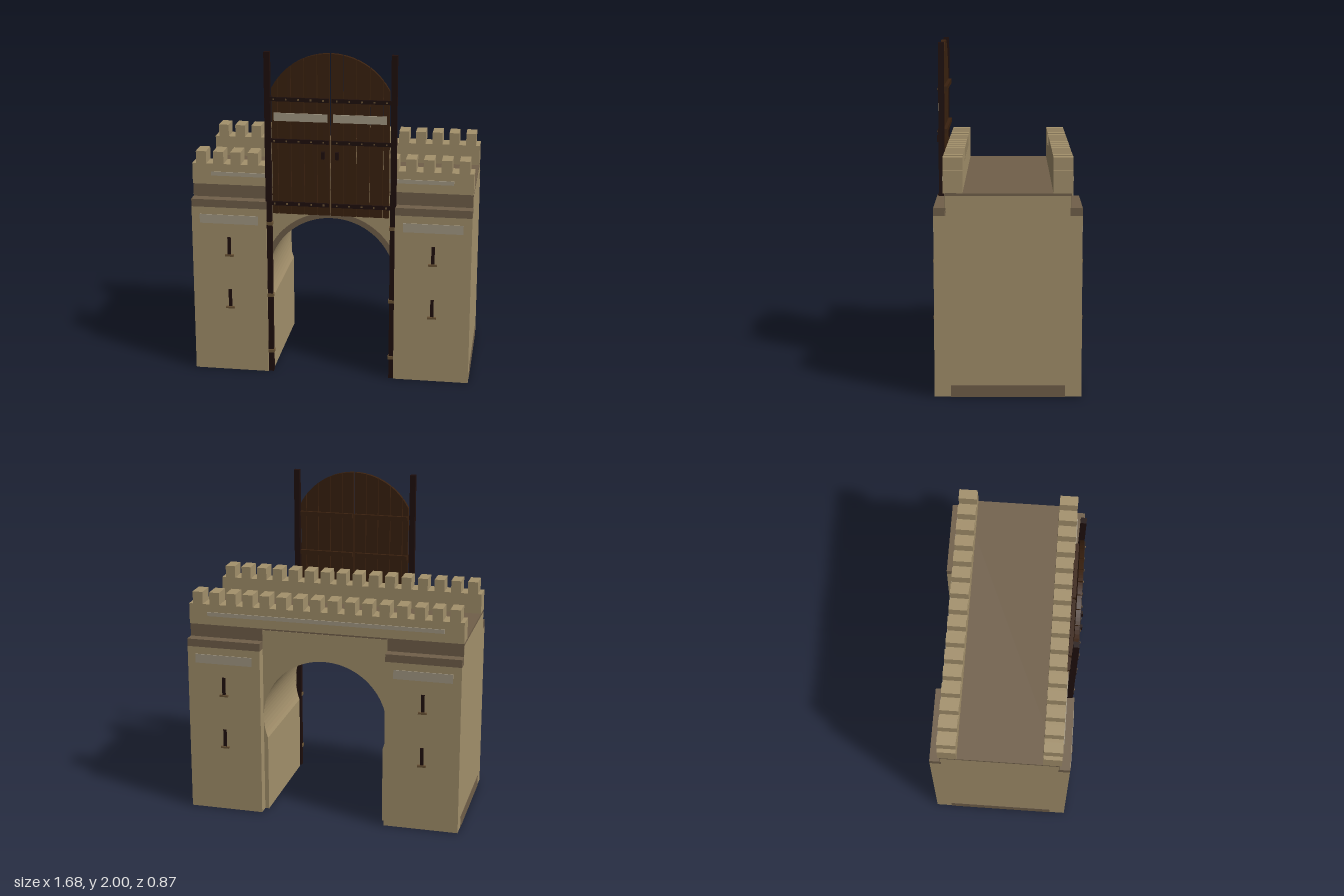
import * as THREE from 'three';

const mat = (name, color) => {
  const m = new THREE.MeshStandardMaterial({ color });
  m.name = name;
  return m;
};

export function createModel() {
  const root = new THREE.Group();
  root.name = 'castleGate';
  const stone = mat('sandstone', 0xa4916c);
  const trim = mat('darkStone', 0x71604a);
  const wood = mat('darkWood', 0x3a210f);
  const iron = mat('blackIron', 0x1f0f0d);
  const pale = mat('paleStone', 0xa59b86);
  const bronze = mat('bronze', 0x6b5436);

  const add = (geo, m, name, parent = root) => {
    const mesh = new THREE.Mesh(geo, m);
    mesh.name = name;
    parent.add(mesh);
    return mesh;
  };
  // Box given by its extents on each axis
  const box = (name, m, x0, x1, y0, y1, z0, z1, parent = root) => {
    const b = add(new THREE.BoxGeometry(Math.abs(x1 - x0), y1 - y0, Math.abs(z1 - z0)), m, name, parent);
    b.position.set((x0 + x1) / 2, (y0 + y1) / 2, (z0 + z1) / 2);
    return b;
  };

  // Main wall with a horseshoe arch passage
  const R = 0.385, CY = 0.61, a = Math.acos(0.36 / R);
  const wall = new THREE.Shape();
  wall.moveTo(-0.84, 0.002);
  wall.lineTo(-0.36, 0.002);
  wall.lineTo(-0.36, CY - R * Math.sin(a));
  wall.absarc(0, CY, R, Math.PI + a, -a, true);
  wall.lineTo(0.36, 0.002);
  wall.lineTo(0.84, 0.002);
  wall.lineTo(0.84, 1.165);
  wall.lineTo(-0.84, 1.165);
  wall.closePath();
  const wallGeo = new THREE.ExtrudeGeometry(wall, { depth: 0.71, bevelEnabled: false, curveSegments: 28 });
  wallGeo.translate(0, 0, -0.355);
  add(wallGeo, stone, 'archedWall');

  // Dark ring around the front of the arch
  const ring = new THREE.Shape();
  ring.absarc(0, CY, R + 0.033, -0.2, Math.PI + 0.2, false);
  ring.absarc(0, CY, R, Math.PI + 0.2, -0.2, true);
  const ringGeo = new THREE.ExtrudeGeometry(ring, { depth: 0.006, bevelEnabled: false, curveSegments: 28 });
  ringGeo.translate(0, 0, 0.354);
  add(ringGeo, trim, 'archRing');

  box('roofWalk', trim, -0.84, 0.84, 1.165, 1.18, -0.354, 0.354);

  // Towers, mirrored left and right
  for (const s of [1, -1]) {
    const tower = new THREE.Group();
    tower.name = s > 0 ? 'leftTower' : 'rightTower';
    root.add(tower);
    const tb = (name, m, x0, x1, ...r) => box(name, m, s * x0, s * x1, ...r, tower);
    tb('towerBlock', stone, 0.385, 0.84, 0.002, 1.05, -0.42, 0.42);
    tb('footing', trim, 0.37, 0.842, 0, 0.07, -0.325, 0.325);
    for (const f of [1, -1]) {
      tb('cornice', trim, 0.385, 0.84, 1.05, 1.097, f * 0.35, f * 0.42);
      tb('upperBand', trim, 0.385, 0.839, 1.097, 1.18, f * 0.35, f * 0.358);
      tb('towerPanel', pale, 0.435, 0.79, 0.95, 1.005, f * 0.417, f * 0.425);
      for (const y of [0.41, 0.745]) {
        tb('arrowSlit', iron, 0.604, 0.624, y + 0.01, y + 0.12, f * 0.418, f * 0.427);
        tb('slitSill', bronze, 0.587, 0.64, y, y + 0.012, f * 0.418, f * 0.434);
      }
    }
    // Tall guide post and its brackets
    tb('guidePost', iron, 0.355, 0.389, 0, 2, 0.375, 0.409);
    for (const y of [0.135, 0.5, 0.96]) tb('postBracket', bronze, 0.349, 0.389, y - 0.01, y + 0.01, 0.38, 0.414);
  }

  // Parapets with sixteen merlons each
  for (const f of [1, -1]) {
    const parapet = new THREE.Group();
    parapet.name = f > 0 ? 'frontParapet' : 'backParapet';
    root.add(parapet);
    box('parapetWall', stone, -0.84, 0.84, 1.178, 1.305, f * 0.255, f * 0.367, parapet);
    box('parapetPanel', pale, -0.725, 0.725, 1.233, 1.257, f * 0.364, f * 0.373, parapet);
    for (let i = 0; i < 16; i++) {
      const x = (i - 7.5) * 0.1047;
      box('merlon', stone, x - 0.031, x + 0.031, 1.305, 1.38, f * 0.255, f * 0.367, parapet);
    }
  }

  // Raised gate: two leaves of planks under a round top
  const top = x => 1.61 + Math.sqrt(0.39 ** 2 - x * x);
  const edges = [0.004, 0.079, 0.156, 0.234, 0.312, 0.35];
  for (const s of [1, -1]) {
    const leaf = new THREE.Group();
    leaf.name = s > 0 ? 'leftGateLeaf' : 'rightGateLeaf';
    root.add(leaf);
    for (let i = 0; i < 5; i++) {
      const x0 = edges[i], x1 = edges[i + 1] - 0.004;
      const p = new THREE.Shape();
      p.moveTo(s * x0, 1.025);
      p.lineTo(s * x1, 1.025);
      for (let k = 0; k <= 4; k++) {
        const x = x1 + (x0 - x1) * k / 4;
        p.lineTo(s * x, top(x));
      }
      p.closePath();
      const g = new THREE.ExtrudeGeometry(p, { depth: 0.026, bevelEnabled: false });
      g.translate(0, 0, 0.38);
      add(g, wood, 'plank', leaf);
    }
    // Straps with rivets on the front, rails behind
    for (const y of [1.09, 1.475, 1.725]) {
      box('strap', iron, s * 0.008, s * 0.36, y - 0.012, y + 0.012, 0.404, 0.415, leaf);
      box('backRail', wood, s * 0.008, s * 0.345, y - 0.014, y + 0.014, 0.36, 0.382, leaf);
      for (let i = 0; i < 5; i++) {
        const x = s * (0.04 + i * 0.073);
        box('rivet', bronze, x - 0.005, x + 0.005, y - 0.005, y + 0.005, 0.413, 0.419, leaf);
      }
    }
    box('gatePanel', pale, s * 0.016, s * 0.332, 1.595, 1.643, 0.405, 0.413, leaf);
    box('handle', iron, s * 0.032, s * 0.052, 1.377, 1.42, 0.404, 0.434, leaf);
  }
  return root;
}
